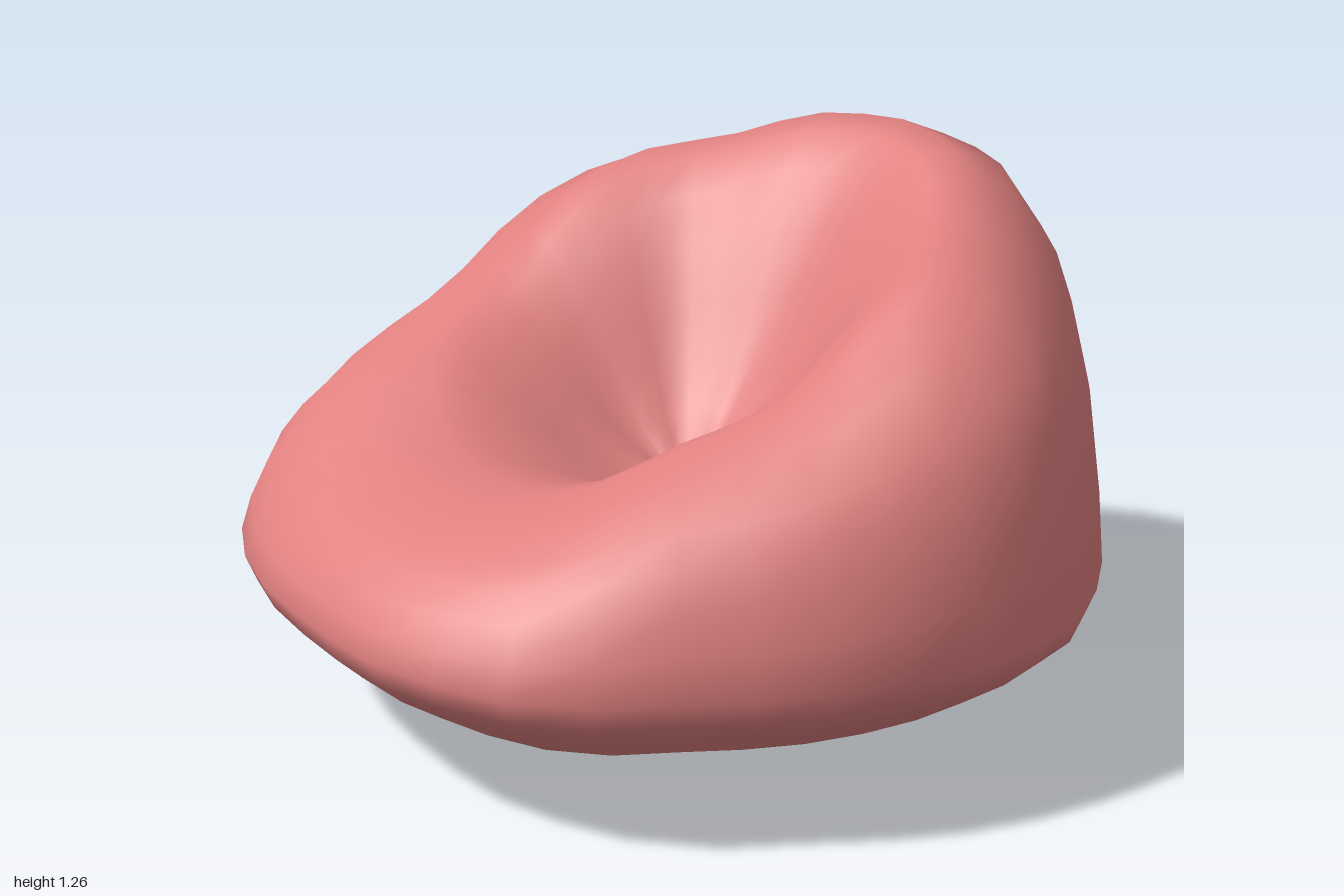
import * as THREE from 'three';

// Outline radius every 10 degrees, from the back round by +x
const OUTLINE = [
  1.0, 0.99, 0.985, 0.97, 0.955, 0.96, 0.975, 1.0, 1.0, 0.99, 0.98, 0.975,
  0.97, 0.975, 1.015, 1.03, 1.02, 1.01, 0.99, 0.985, 1.0, 1.02, 1.04, 1.04,
  1.02, 1.0, 0.985, 1.0, 1.01, 1.025, 1.03, 1.01, 0.98, 0.96, 0.97, 0.985];
// Height of the rim from back (0 degrees) to front (180 degrees), same on both sides
const RIM = [
  1.265, 1.26, 1.25, 1.22, 1.18, 1.155, 1.135, 1.1, 1.05, 0.98,
  0.91, 0.86, 0.82, 0.785, 0.74, 0.69, 0.66, 0.645, 0.645];
const BELT = 0.38; // height of the widest ring
const SEAT = 0.5; // height of the sunken centre

// Underside: [radius fraction, height]
const UNDERSIDE = [[0.15, 0.008], [0.32, 0.03], [0.5, 0.075], [0.66, 0.125],
  [0.8, 0.185], [0.91, 0.26], [0.975, 0.32], [1, BELT]];
// Wall: [radius at back, radius at front, height fraction from belt to rim]
const WALL = [[0.988, 0.975, 0.22], [0.965, 0.935, 0.45], [0.93, 0.88, 0.62],
  [0.89, 0.82, 0.76], [0.78, 0.7, 0.94], [0.65, 0.56, 1]];
// Hollow: [fraction of rim radius, height fraction from centre to rim]
const HOLLOW = [[0.88, 0.965], [0.75, 0.86], [0.62, 0.7], [0.5, 0.52],
  [0.38, 0.34], [0.26, 0.19], [0.14, 0.08]];

function bagGeometry() {
  const n = OUTLINE.length;
  const rows = UNDERSIDE.length + WALL.length + HOLLOW.length;
  const pos = [0, 0, 0];
  const index = [];

  // One ring of points; shape(i, angle) gives radius fraction and height
  const ring = (shape) => {
    for (let i = 0; i < n; i++) {
      const a = (i / n) * Math.PI * 2;
      const [r, y] = shape(i, a);
      pos.push(Math.sin(a) * r * OUTLINE[i], y, -Math.cos(a) * r * OUTLINE[i]);
    }
  };
  const rim = (i) => RIM[Math.min(i, n - i)];
  const mix = (back, front, a) => THREE.MathUtils.lerp(back, front, (1 - Math.cos(a)) / 2);

  for (const [r, y] of UNDERSIDE) ring(() => [r, y]);
  for (const [back, front, h] of WALL) {
    ring((i, a) => [mix(back, front, a), BELT + (rim(i) - BELT) * h]);
  }
  for (const [s, h] of HOLLOW) {
    // soft pleats gather toward the centre
    const pleat = 0.055 * s * Math.max(0, 0.7 - s);
    ring((i, a) => [
      s * mix(0.65, 0.56, a),
      SEAT + (rim(i) - SEAT) * h + pleat * (Math.cos(9 * a) + 0.6 * Math.sin(5 * a)),
    ]);
  }
  pos.push(0, SEAT, 0);

  // Skin between rings, closed by a fan at each end
  const at = (j, i) => 1 + j * n + (i % n);
  const top = 1 + rows * n;
  for (let i = 0; i < n; i++) {
    index.push(0, at(0, i), at(0, i + 1));
    for (let j = 0; j < rows - 1; j++) {
      index.push(at(j, i), at(j + 1, i), at(j, i + 1));
      index.push(at(j, i + 1), at(j + 1, i), at(j + 1, i + 1));
    }
    index.push(at(rows - 1, i), top, at(rows - 1, i + 1));
  }

  const geometry = new THREE.BufferGeometry();
  geometry.setAttribute('position', new THREE.Float32BufferAttribute(pos, 3));
  geometry.setIndex(index);
  geometry.computeVertexNormals();
  return geometry;
}

export function createModel() {
  const group = new THREE.Group();
  group.name = 'beanBagChair';
  const fabric = new THREE.MeshStandardMaterial({ color: 0xe08080 });
  fabric.name = 'coral fabric';
  const bag = new THREE.Mesh(bagGeometry(), fabric);
  bag.name = 'bag';
  group.add(bag);
  return group;
}
